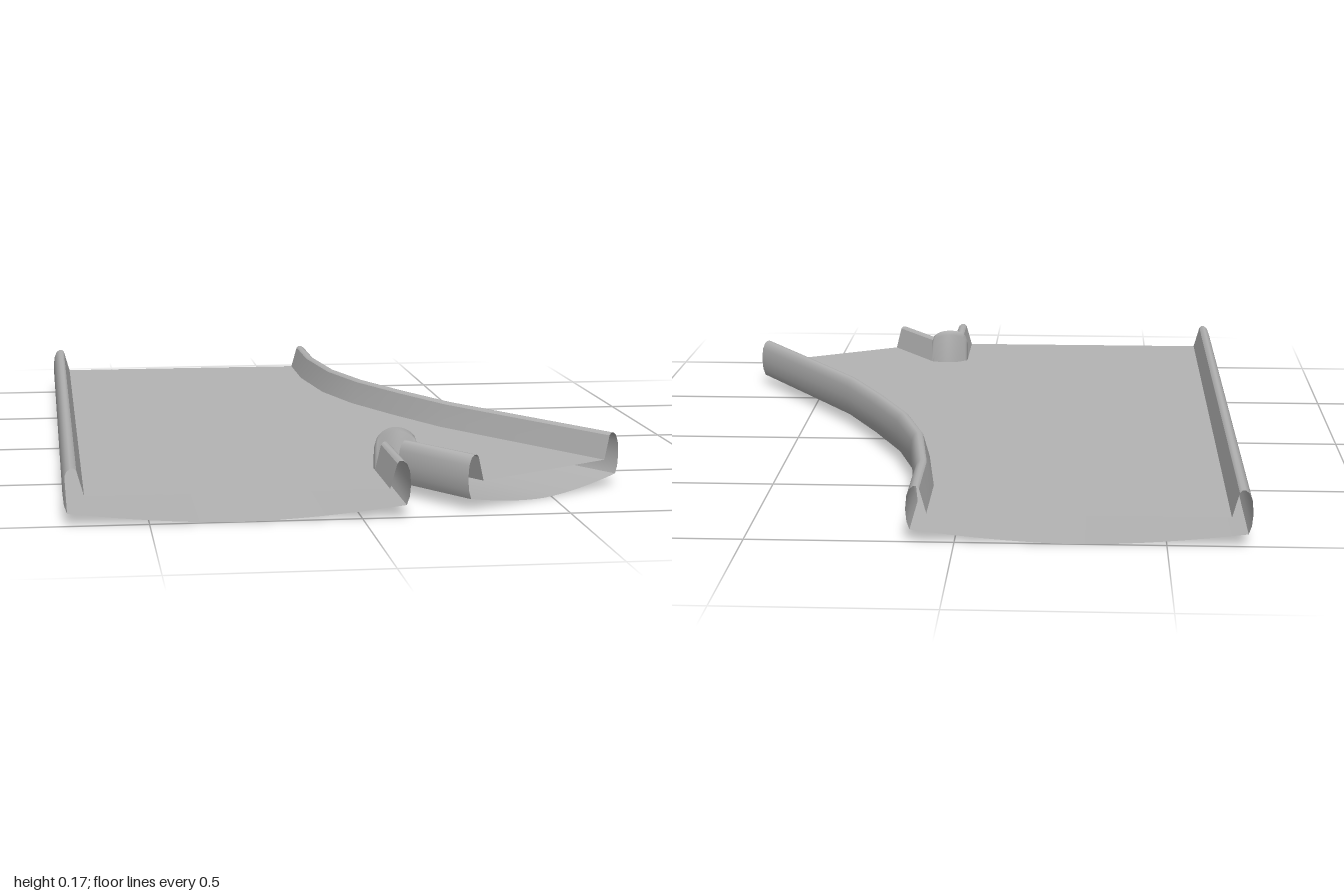
import * as THREE from 'three';

const grey = new THREE.MeshStandardMaterial({ color: 0xb4b4b4, side: THREE.DoubleSide });
grey.name = 'plain grey';

const FLOOR = 0.07;

// Rail cross-section: distance inward from the outer edge, height
const RAIL_SHELL = [[0.01, 0.03], [0.003, 0.05], [0, 0.08], [0.003, 0.112], [0.01, 0.129], [0.019, 0.136], [0.027, 0.136], [0.033, 0.13]];
const RAIL_INNER = [[0.033, 0.13], [0.05, FLOOR]];
const SKIRT = [[0.01, 0.03], [0, FLOOR]];

// Shallow curved underside; "to" is the share of the width covered
function belly(width, to = 1) {
  const pts = [];
  for (let i = 0; i <= 16; i++) {
    const s = (i / 16) * to;
    pts.push([0.01 + s * (width - 0.02), 0.03 * Math.pow(Math.abs(2 * s - 1), 1.7)]);
  }
  return pts;
}

// Stations along a plan path of [x, z]; side = 1 or -1 picks the inward direction
function stations(path, side) {
  return path.map(([x, z], i) => {
    const a = path[Math.max(i - 1, 0)], b = path[Math.min(i + 1, path.length - 1)];
    const dx = b[0] - a[0], dz = b[1] - a[1], l = Math.hypot(dx, dz);
    return { x, z, nx: (side * dz) / l, nz: (-side * dx) / l };
  });
}

// Open sheet swept through the stations; profile may vary by station
function sweep(name, path, profileAt) {
  const pos = [], index = [];
  let n = 0;
  path.forEach((s, i) => {
    const profile = typeof profileAt === 'function' ? profileAt(i) : profileAt;
    n = profile.length;
    for (const [d, y] of profile) pos.push(s.x + s.nx * d, y, s.z + s.nz * d);
    if (i === 0) return;
    for (let j = 0; j < n - 1; j++) {
      const a = (i - 1) * n + j, b = i * n + j;
      index.push(a, b, a + 1, b, b + 1, a + 1);
    }
  });
  const g = new THREE.BufferGeometry();
  g.setAttribute('position', new THREE.Float32BufferAttribute(pos, 3));
  g.setIndex(index);
  g.computeVertexNormals();
  const mesh = new THREE.Mesh(g, grey);
  mesh.name = name;
  return mesh;
}

function rail(name, path) {
  const group = new THREE.Group();
  group.name = name;
  group.add(sweep(name + 'Shell', path, RAIL_SHELL), sweep(name + 'InnerFace', path, RAIL_INNER));
  return group;
}

export function createModel() {
  const model = new THREE.Group();
  model.name = 'forkedGutter';

  const left = stations([[-0.7, -1], [-0.7, 1]], 1);
  const curved = stations([[0.115, -1], [0.115, -0.75], [0.145, -0.47], [0.2, -0.26],
    [0.285, -0.05], [0.38, 0.16], [0.53, 0.405], [0.7, 0.68]], -1);
  const straightDivider = stations([[0.115, 0.745], [0.115, 1]], -1);
  const branchDivider = stations([[0.127, 0.745], [0.26, 0.958]], 1);

  // Rails
  model.add(rail('straightRail', left), rail('curvedRail', curved),
    rail('straightDividerRail', straightDivider), rail('branchDividerRail', branchDivider));

  // Undersides of the straight channel and of the branch
  model.add(sweep('straightUnderside', left, belly(0.815)));
  const widths = [0.815, 0.815, 0.64, 0.52];
  model.add(sweep('junctionUnderside', curved.slice(0, 4), (i) => belly(widths[i], 0.5)));
  model.add(sweep('branchUnderside', curved.slice(3), belly(0.52)));
  model.add(sweep('branchInnerSkirt', stations([[-0.09, 0.36], [0.127, 0.745]], 1), SKIRT));

  // Flat floor bounded by the feet of the rails
  const outline = [[-0.65, -1], [-0.65, 1], [0.065, 1], [0.065, 0.745], [0.09, 0.72], [0.12, 0.712],
    [0.168, 0.72], [0.302, 0.932]];
  for (const s of [...curved].reverse()) outline.push([s.x + s.nx * 0.05, s.z + s.nz * 0.05]);
  const floorShape = new THREE.Shape(outline.map(([x, z]) => new THREE.Vector2(x, -z)));
  const floor = new THREE.Mesh(new THREE.ShapeGeometry(floorShape).rotateX(-Math.PI / 2).translate(0, FLOOR, 0), grey);
  floor.name = 'floor';
  model.add(floor);

  // Rounded nose where the two divider rails meet: a bent arch
  const cols = 16, pos = [], index = [];
  for (let i = 0; i <= cols; i++) {
    const u = i / cols, t = 2 * u - 1;
    const x = 0.065 + 0.11 * u;
    const top = 0.128 + 0.04 * Math.sqrt(Math.max(0, 1 - t * t));
    const back = 0.745 - 0.02 * u - 0.024 * Math.sin(Math.PI * u);
    // back foot, back shoulder, crown, front shoulder, front foot
    pos.push(x, 0.06, back, x, top - 0.012, back + 0.002, x, top, back + 0.011,
      x, top - 0.008, back + 0.022, x, 0.06, back + 0.024);
    if (i === 0) continue;
    for (let j = 0; j < 4; j++) {
      const a = (i - 1) * 5 + j, b = i * 5 + j;
      index.push(a, a + 1, b, b, a + 1, b + 1);
    }
  }
  // End panels of the nose
  for (const e of [0, cols * 5]) index.push(e, e + 4, e + 1, e + 1, e + 4, e + 3, e + 1, e + 3, e + 2);
  const noseGeometry = new THREE.BufferGeometry();
  noseGeometry.setAttribute('position', new THREE.Float32BufferAttribute(pos, 3));
  noseGeometry.setIndex(index);
  noseGeometry.computeVertexNormals();
  const nose = new THREE.Mesh(noseGeometry, grey);
  nose.name = 'dividerNose';
  model.add(nose);

  return model;
}
